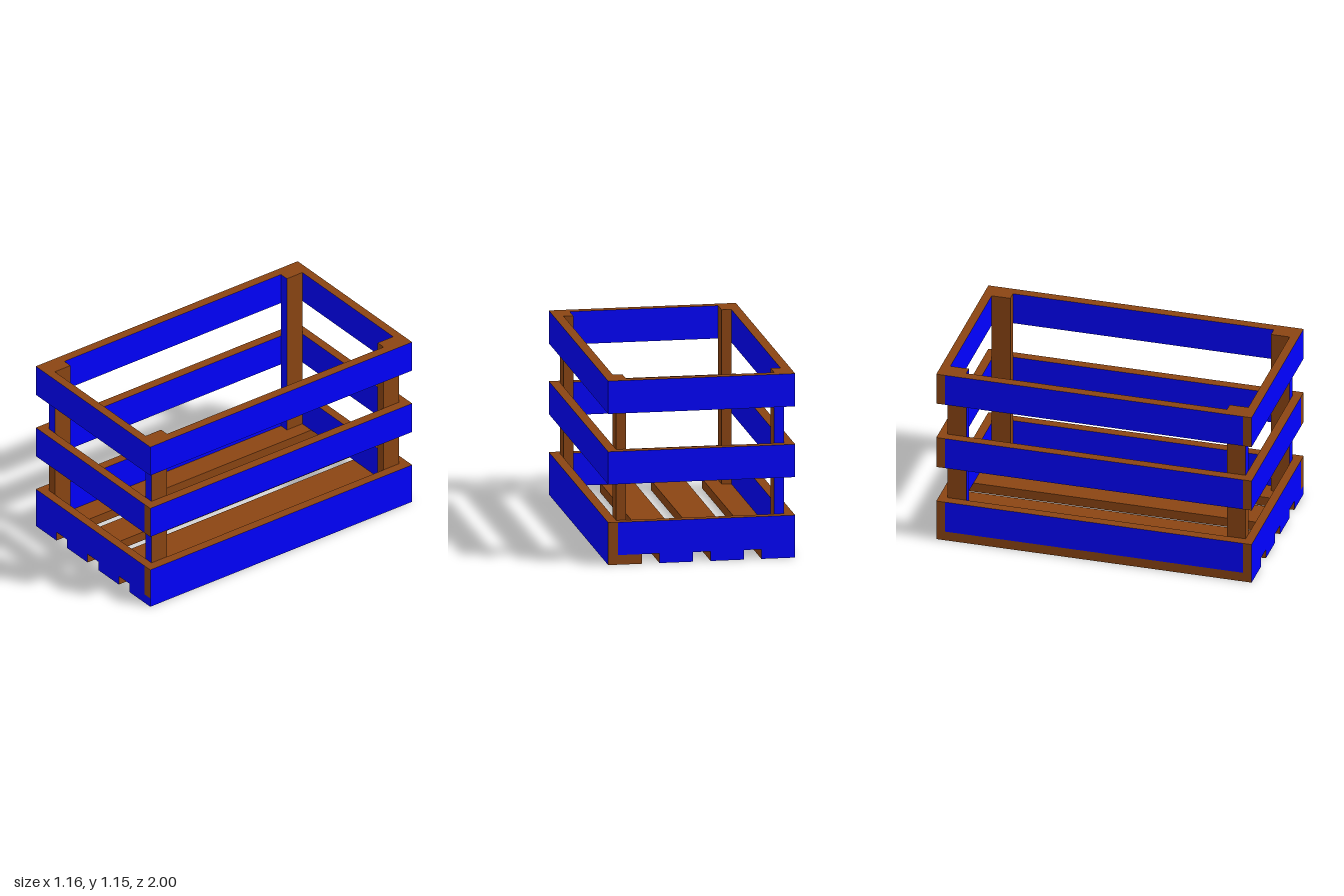
import * as THREE from 'three';

const blue = new THREE.MeshStandardMaterial({ color: 0x0000ff });
const brown = new THREE.MeshStandardMaterial({ color: 0x8b4513 });

// Outer half sizes and board thicknesses
const X = 0.58, Z = 1, SIDE = 0.06, END = 0.055, FLOOR = 0.06, TOP = 1.15;

// Board between two corners; faces named in `painted` are blue, the rest bare wood
function board(name, [x0, x1], [y0, y1], [z0, z1], painted) {
  const geometry = new THREE.BoxGeometry(x1 - x0, y1 - y0, z1 - z0);
  const faces = ['+x', '-x', '+y', '-y', '+z', '-z'];
  const mesh = new THREE.Mesh(geometry, faces.map(f => (painted.includes(f) ? blue : brown)));
  mesh.position.set((x0 + x1) / 2, (y0 + y1) / 2, (z0 + z1) / 2);
  mesh.name = name;
  return mesh;
}

export function createModel() {
  const crate = new THREE.Group();
  crate.name = 'slattedCrate';

  // Floor slats running front to back
  const slats = [[-X, -0.37], [-0.262, -0.055], [0.055, 0.262], [0.37, X]];
  slats.forEach((span, i) => {
    const painted = i === 3 ? ['+z', '+x'] : ['+z', '-z'];
    crate.add(board('floorSlat', span, [0, FLOOR], [-Z, Z], painted));
  });

  // Three levels of wall boards
  const levels = [['lower', FLOOR, 0.265], ['middle', 0.503, 0.708], ['upper', 0.945, TOP]];
  for (const [level, y0, y1] of levels) {
    const y = [y0, y1];
    const leftPaint = ['+x', '-x'];
    if (level === 'upper') leftPaint.push('+z');
    if (level !== 'lower') leftPaint.push('-z');
    crate.add(
      board(level + 'LeftBoard', [X - SIDE, X], y, [-Z, Z], leftPaint),
      board(level + 'RightBoard', [-X, -X + SIDE], y, [-Z + END, Z - END], ['+x', '-x']),
      board(level + 'FrontBoard', [-X, X - SIDE], y, [Z - END, Z], ['+z', '-z']),
      board(level + 'BackBoard', [-X, X - SIDE], y, [-Z, -Z + END], ['+z', '-z'])
    );
  }

  // Corner posts inside the walls, each in a lower and an upper length
  const posts = [
    { name: 'frontLeftPost', sx: 1, sz: 1, lower: ['+z'], upper: ['+z'] },
    { name: 'frontRightPost', sx: -1, sz: 1, lower: [], upper: ['+z'] },
    { name: 'backLeftPost', sx: 1, sz: -1, lower: [], upper: [] },
    { name: 'backRightPost', sx: -1, sz: -1, lower: ['+z', '-z'], upper: ['+z', '-z'] },
  ];
  const mid = 0.605;
  for (const { name, sx, sz, lower, upper } of posts) {
    const x = sx > 0 ? [0.46, X - SIDE] : [-X + SIDE, -0.46];
    const z = sz > 0 ? [0.827, Z - END] : [-Z + END, -0.827];
    const post = new THREE.Group();
    post.name = name;
    post.add(
      board('lowerLength', x, [FLOOR, mid], z, lower),
      board('upperLength', x, [mid, TOP], z, upper)
    );
    crate.add(post);
  }
  return crate;
}
